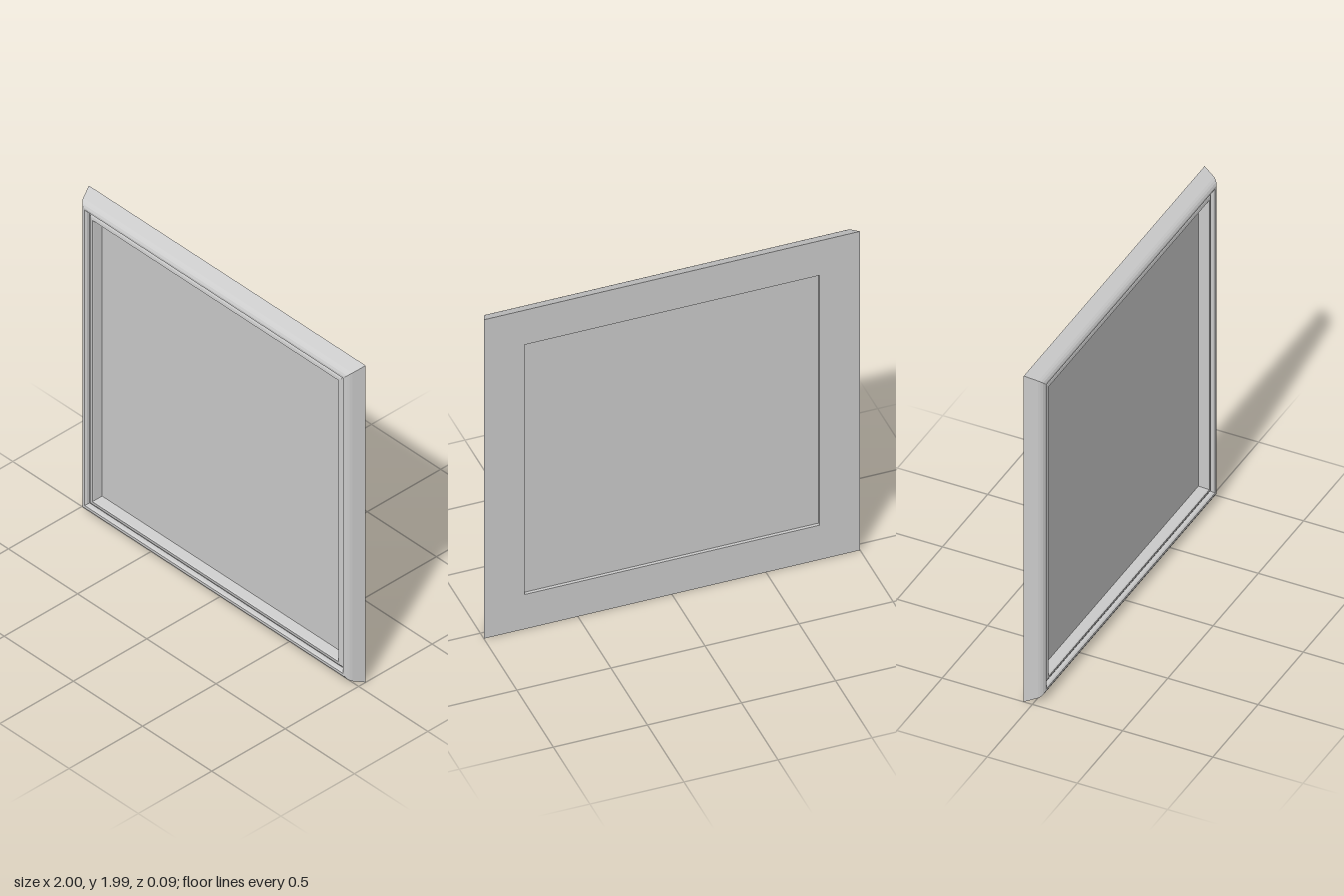
import * as THREE from 'three';

const W = 2, H = 1.985;

// Moulding cross-section: [inset from outer edge, z], from the back outer edge over the front to the back opening
const PROFILE = [
  [0, -0.048], [0.027, 0.018], [0.034, 0.029], [0.043, 0.038], [0.055, 0.044], [0.067, 0.044],
  [0.074, 0.036], [0.076, 0.02], [0.081, 0.02],
  [0.085, 0.026], [0.095, 0.031], [0.111, 0.034], [0.115, 0.028], [0.125, -0.02],
  [0.125, -0.03], [0.215, -0.03], [0.215, -0.048],
];

// Sweeps a closed section around a rectangle with mitred corners
function mitredFrame(profile) {
  const corners = [[-1, -1], [1, -1], [1, 1], [-1, 1]];
  const at = (i, k) => {
    const [inset, z] = profile[i % profile.length];
    const [sx, sy] = corners[k % 4];
    return [sx * (W / 2 - inset), H / 2 + sy * (H / 2 - inset), z];
  };
  const positions = [];
  for (let i = 0; i < profile.length; i++) {
    for (let k = 0; k < 4; k++) {
      const a = at(i, k), b = at(i, k + 1), c = at(i + 1, k + 1), d = at(i + 1, k);
      positions.push(...a, ...b, ...c, ...a, ...c, ...d);
    }
  }
  const geometry = new THREE.BufferGeometry();
  geometry.setAttribute('position', new THREE.Float32BufferAttribute(positions, 3));
  geometry.computeVertexNormals();
  return geometry;
}

export function createModel() {
  const group = new THREE.Group();
  group.name = 'pictureFrame';
  const material = new THREE.MeshStandardMaterial({ color: 0xcccccc, flatShading: true });

  // Moulded frame with front lip and back rim
  const frame = new THREE.Mesh(mitredFrame(PROFILE), material);
  frame.name = 'frameMoulding';
  group.add(frame);

  // Flat panel held behind the inner lip, recessed at the back
  const panel = new THREE.Mesh(new THREE.BoxGeometry(W - 0.25, H - 0.25, 0.01), material);
  panel.name = 'picturePanel';
  panel.position.set(0, H / 2, -0.025);
  group.add(panel);

  return group;
}
